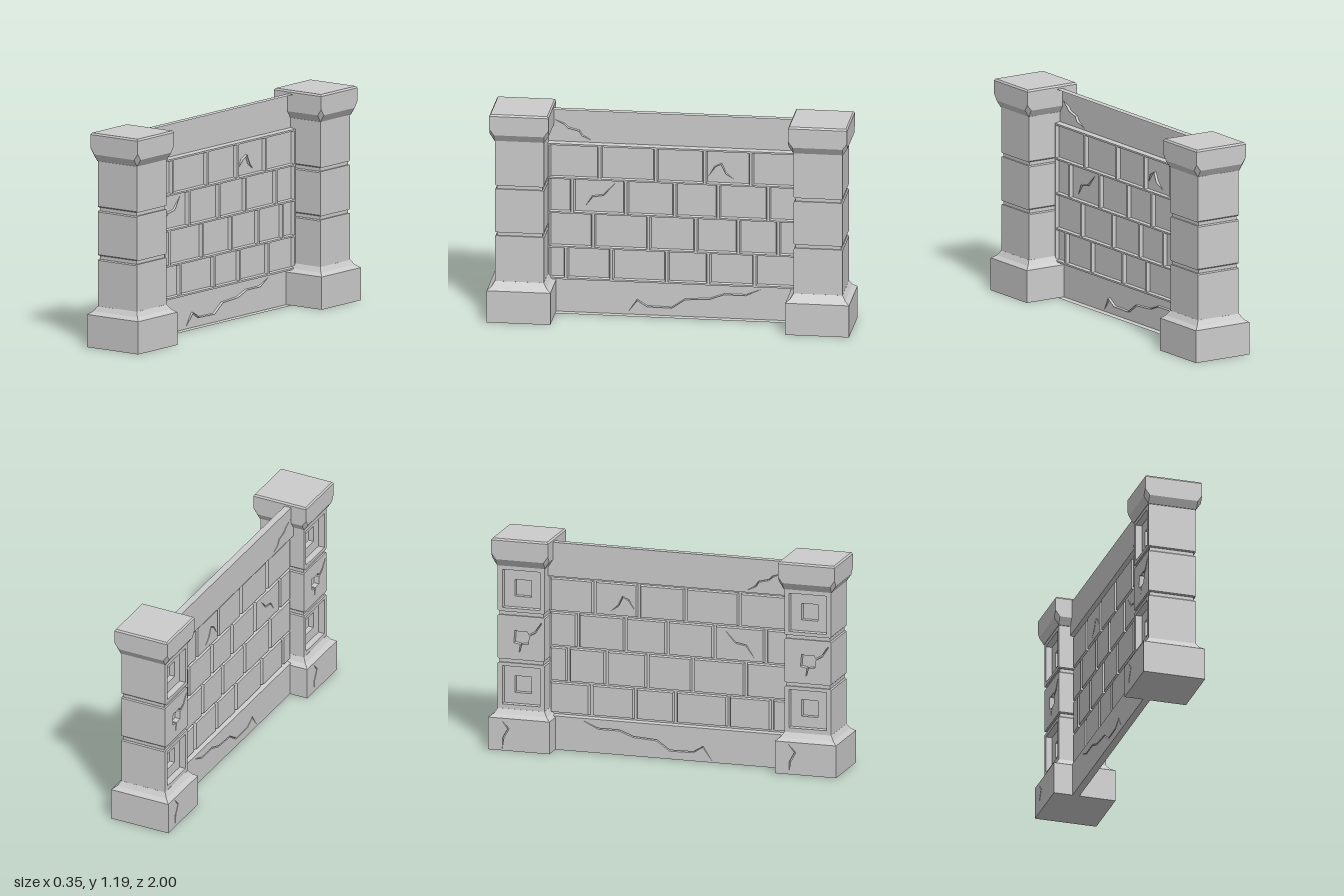
import * as THREE from 'three';
import { ConvexGeometry } from 'three/addons/geometries/ConvexGeometry.js';

// Wall and pillar relief is drawn in (u, v, w) = (z, y, -x), then turned into place.
const solid = new THREE.MeshStandardMaterial({ color: 0xcccccc, flatShading: true });
const sheet = new THREE.MeshStandardMaterial({ color: 0xcccccc, flatShading: true, side: THREE.DoubleSide });
const V2 = (p) => new THREE.Vector2(p[0], p[1]);

function add(parent, name, geometry, material = solid) {
  const mesh = new THREE.Mesh(geometry, material);
  mesh.name = name;
  parent.add(mesh);
}

// Surface through rows of [u, v, w] points
function loft(rows, closed = false) {
  const pos = [];
  const n = rows[0].length;
  for (let i = 0; i + 1 < rows.length; i++) {
    for (let j = 0; j < (closed ? n : n - 1); j++) {
      const k = (j + 1) % n;
      const a = rows[i][j], b = rows[i][k], c = rows[i + 1][k], d = rows[i + 1][j];
      pos.push(...a, ...b, ...c, ...a, ...c, ...d);
    }
  }
  const g = new THREE.BufferGeometry();
  g.setAttribute('position', new THREE.Float32BufferAttribute(pos, 3));
  g.computeVertexNormals();
  return g;
}

const rect = (u0, u1, v0, v1) => [[u0, v0], [u1, v0], [u1, v1], [u0, v1]];

// Both sides of a crack that tapers to a point at each end
function crackSides(points, half) {
  const side = (s) => points.map((p, i) => {
    if (i === 0 || i === points.length - 1) return p;
    const d = V2(points[i + 1]).sub(V2(points[i - 1])).normalize();
    return [p[0] - d.y * half * s, p[1] + d.x * half * s];
  });
  return { left: side(1), right: side(-1) };
}

function crackOutline(points, half) {
  const { left, right } = crackSides(points, half);
  return [...right, ...left.slice(1, -1).reverse()];
}

const BAND = 0.07, BRICK = 0.057, GROOVE = 0.038, LIP = 0.03;
const WALL_END = 0.69, WALL_TOP = 1.172;

// One wall cell: a flat face with bevels down to the joint, and an optional V-cut crack
function wallCell(parent, name, face, [u0, u1, v0, v1], [iu0, iu1, iv0, iv1], crack) {
  const cell = new THREE.Group();
  cell.name = name;
  parent.add(cell);
  const loop = (f, w) => rect(u0 + iu0 * f, u1 - iu1 * f, v0 + iv0 * f, v1 - iv1 * f).map((p) => [...p, w]);
  const shape = new THREE.Shape(loop(1, 0).map(V2));
  if (crack) {
    const half = 0.0035;
    shape.holes.push(new THREE.Path(crackOutline(crack, half).map(V2)));
    const { left, right } = crackSides(crack, half);
    const rows = [right, crack, left].map((row, r) =>
      row.map((p, i) => [...p, r === 1 && i > 0 && i < row.length - 1 ? face - 0.014 : face]));
    add(cell, 'crack', loft(rows), sheet);
  }
  add(cell, 'face', new THREE.ShapeGeometry(shape).translate(0, 0, face), sheet);
  add(cell, 'bevel', loft([loop(0, GROOVE), loop(0.5, GROOVE), loop(1, face)], true), sheet);
}

function buildWall() {
  const wall = new THREE.Group();
  wall.name = 'wall';
  wall.rotation.y = -Math.PI / 2;
  const e = WALL_END;

  // Plain bands below and above the bricks, standing slightly proud of them
  wallCell(wall, 'bottomBand', BAND, [-e, e, 0, 0.2], [0, 0, 0, 0.01], [
    [0.255, 0.008], [0.2, 0.085], [0.145, 0.05], [0.01, 0.048], [-0.065, 0.1],
    [-0.2, 0.108], [-0.28, 0.138], [-0.4, 0.138], [-0.49, 0.177]]);
  wallCell(wall, 'topBand', BAND, [-e, e, 0.97, WALL_TOP], [0, 0, 0.01, 0], [
    [0.66, 1.105], [0.6, 1.08], [0.58, 1.06], [0.52, 1.045], [0.505, 1.02], [0.45, 0.99]]);

  // Brick courses: joint positions along the wall, with cracked bricks by index
  const courses = [
    { y: [0.2, 0.381], joints: [-0.45, -0.195, 0.035, 0.34, 0.59] },
    { y: [0.381, 0.579], joints: [-0.58, -0.36, -0.125, 0.135, 0.44] },
    { y: [0.579, 0.776], joints: [-0.525, -0.25, -0.01, 0.26, 0.555],
      cracked: 4, crack: [[0.49, 0.61], [0.445, 0.675], [0.385, 0.685], [0.32, 0.755]] },
    { y: [0.776, 0.97], joints: [-0.43, -0.175, 0.095, 0.405],
      cracked: 1, crack: [[-0.195, 0.82], [-0.23, 0.875], [-0.265, 0.893], [-0.29, 0.84], [-0.335, 0.805]] },
  ];
  for (const { y, joints, cracked, crack } of courses) {
    const ends = [-e, ...joints, e];
    for (let i = 0; i + 1 < ends.length; i++) {
      wallCell(wall, 'brick', BRICK, [ends[i], ends[i + 1], y[0], y[1]],
        [0.014, 0.014, 0.009, 0.009], i === cracked ? crack : null);
    }
  }

  // Narrow flanges along the ground and the top
  const edge = (v, w) => [[-e, v, w], [e, v, w]];
  add(wall, 'topFlange', loft([edge(WALL_TOP, BAND), edge(WALL_TOP, LIP)]), sheet);
  add(wall, 'bottomFlange', loft([edge(0, LIP), edge(0, BAND)]), sheet);
  return wall;
}

// Square block cut into layers, each layer with its own opening on the -x face
function carvedBlock(parent, name, half, y0, y1, chamfer, layers) {
  const block = new THREE.Group();
  block.name = name;
  block.rotation.y = -Math.PI / 2;
  parent.add(block);
  const c = chamfer, h = half;
  const outline = [[-h + c, y0], [h - c, y0], [h, y0 + c], [h, y1 - c],
    [h - c, y1], [-h + c, y1], [-h, y1 - c], [-h, y0 + c]];
  const slab = (label, hole, w0, w1) => {
    const shape = new THREE.Shape((c ? outline : rect(-h, h, y0, y1)).map(V2));
    if (hole) shape.holes.push(new THREE.Path(hole.map(V2)));
    const g = new THREE.ExtrudeGeometry(shape, { depth: w1 - w0, bevelEnabled: false });
    add(block, label, g.translate(0, 0, w0));
  };
  let w = half;
  for (const { hole, depth } of layers) {
    slab('carvedLayer', hole, w - depth, w);
    w -= depth;
  }
  slab('core', null, -half, w);
}

function frustum(h0, h1, y0, y1) {
  const r = Math.SQRT2;
  return new THREE.CylinderGeometry(h1 * r, h0 * r, y1 - y0, 4)
    .rotateY(Math.PI / 4).translate(0, (y0 + y1) / 2, 0);
}

function buildPillar() {
  const pillar = new THREE.Group();
  const S = 0.1345;

  // Plinth with a cracked face and a hollow-curved top
  const crack = [[-0.1, 0.172], [-0.06, 0.125], [-0.09, 0.07], [-0.095, 0.01]];
  carvedBlock(pillar, 'plinth', 0.176, 0, 0.182, 0, [{ hole: crackOutline(crack, 0.004), depth: 0.012 }]);
  add(pillar, 'plinthSlope', frustum(0.176, 0.152, 0.182, 0.2));
  add(pillar, 'plinthNeck', frustum(0.152, 0.135, 0.2, 0.227));

  // Three shaft blocks: a sunk panel with a square hole above and below, a broken hole between
  const niche = (y) => [[0.108, 0.036], [0.047, 0.03]].map(([r, depth]) =>
    ({ hole: rect(-r, r, y - r, y + r), depth }));
  const broken = [[-0.042, -0.03], [-0.005, -0.036], [-0.012, -0.08], [-0.007, -0.08], [0.004, -0.036],
    [0.042, -0.032], [0.046, 0.012], [0.085, 0.035], [0.12, 0.09], [0.114, 0.092], [0.08, 0.042],
    [0.044, 0.022], [0.034, 0.04], [-0.01, 0.034], [-0.036, 0.042]]
    .map(([u, v]) => [u, v + 0.633]);
  carvedBlock(pillar, 'lowerBlock', S, 0.22, 0.488, 0.006, niche(0.36));
  carvedBlock(pillar, 'middleBlock', S, 0.508, 0.757, 0.006, [{ hole: broken, depth: 0.03 }]);
  carvedBlock(pillar, 'upperBlock', S, 0.777, 1.04, 0.006, niche(0.905));
  for (const y of [0.498, 0.767]) {
    add(pillar, 'neck', new THREE.BoxGeometry(0.252, 0.03, 0.252).translate(0, y, 0));
  }

  // Cap with sloped underside and clipped lower corners
  const points = [];
  for (const sx of [-1, 1]) {
    for (const sz of [-1, 1]) {
      for (const [x, y, z] of [[0.137, 1.035, 0.137], [0.163, 1.075, 0.138], [0.138, 1.075, 0.163],
        [0.163, 1.11, 0.163], [0.163, 1.183, 0.163], [0.156, 1.193, 0.156]]) {
        points.push(new THREE.Vector3(sx * x, y, sz * z));
      }
    }
  }
  add(pillar, 'cap', new ConvexGeometry(points));
  return pillar;
}

export function createModel() {
  const model = new THREE.Group();
  model.name = 'wallSection';
  model.add(buildWall());
  for (const s of [-1, 1]) {
    const pillar = buildPillar();
    pillar.name = s > 0 ? 'frontPillar' : 'backPillar';
    pillar.position.z = s * 0.824;
    model.add(pillar);
  }
  return model;
}
